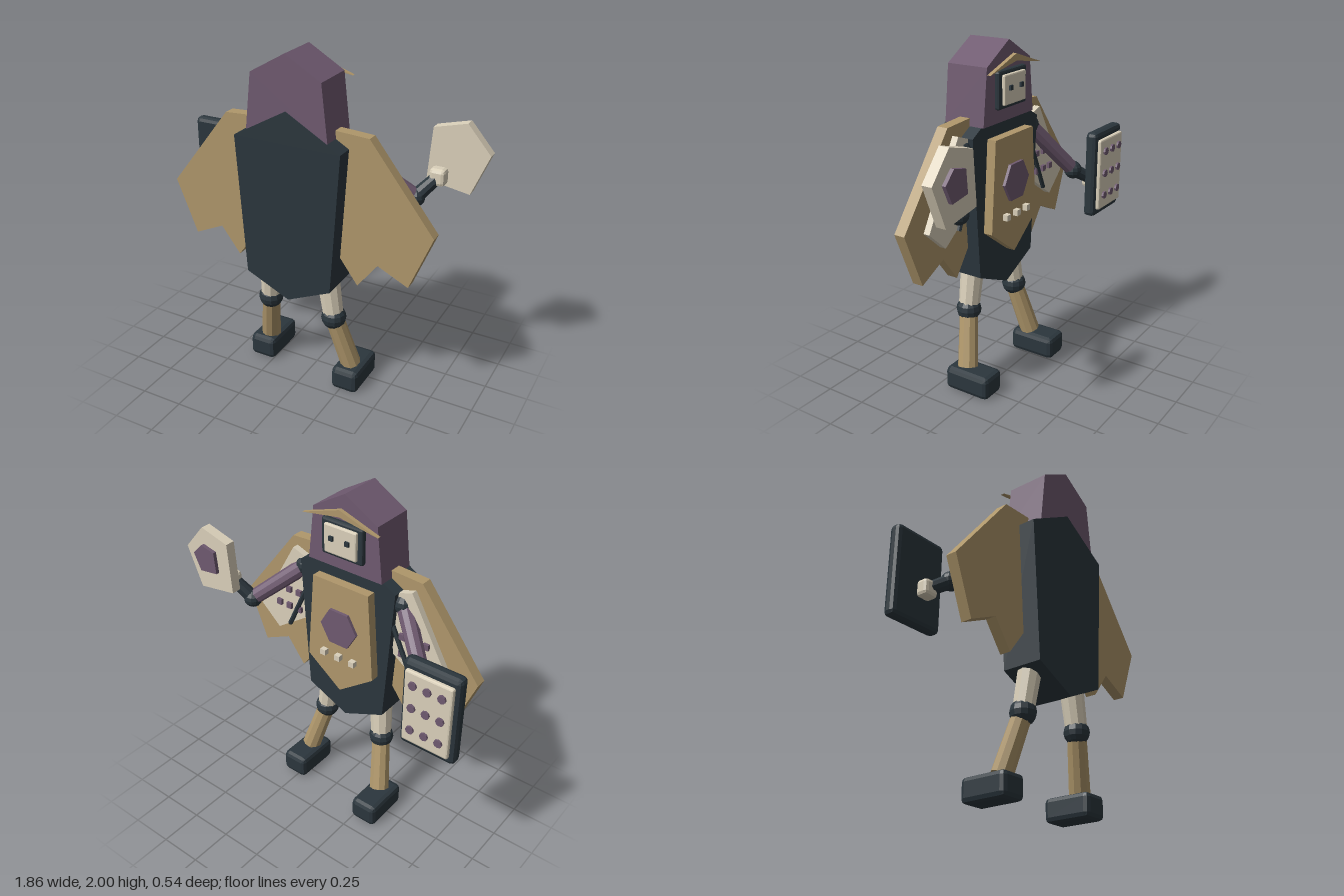
import * as THREE from 'three';
import { RoundedBoxGeometry } from 'three/addons/geometries/RoundedBoxGeometry.js';

const mat = (color) => new THREE.MeshStandardMaterial({ color, flatShading: true });
const dark = mat(0x2b363d), purple = mat(0x6f5a70), tan = mat(0xaf976b), cream = mat(0xdad0ba);
const CX = -0.042; // body's middle plane

export function createModel() {
  const root = new THREE.Group();

  const add = (name, geo, material, x = 0, y = 0, z = 0) => {
    const m = new THREE.Mesh(geo, material);
    m.name = name;
    m.position.set(x, y, z);
    root.add(m);
    return m;
  };
  // flat plate with an outline in x, y, running from z0 to z1
  const plate = (name, pts, z0, z1, material, x = 0) => {
    const shape = new THREE.Shape(pts.map(([a, b]) => new THREE.Vector2(a, b)));
    const geo = new THREE.ExtrudeGeometry(shape, { depth: z1 - z0, bevelEnabled: false });
    return add(name, geo, material, x, 0, z0);
  };
  // right half outline (top to bottom) completed by its mirror image
  const symmetric = (half) =>
    [...half, ...half.filter(([a]) => a > 0).reverse().map(([a, b]) => [-a, b])];
  // chamfered box given by its limits
  const block = (name, [x0, x1], [y0, y1], [z0, z1], r, material) =>
    add(name, new RoundedBoxGeometry(x1 - x0, y1 - y0, z1 - z0, 1, r), material,
      (x0 + x1) / 2, (y0 + y1) / 2, (z0 + z1) / 2);
  const limb = (name, a, b, r0, r1, material, sides = 10) => {
    const p = new THREE.Vector3(...a), q = new THREE.Vector3(...b);
    const d = q.clone().sub(p);
    const m = add(name, new THREE.CylinderGeometry(r1, r0, d.length(), sides), material);
    m.position.copy(p).add(q).multiplyScalar(0.5);
    m.quaternion.setFromUnitVectors(new THREE.Vector3(0, 1, 0), d.normalize());
    return m;
  };
  const ball = (name, p, r, material) =>
    add(name, new THREE.SphereGeometry(r, 12, 8), material, ...p);
  // disc facing along z
  const disc = (name, r, depth, sides, material, x, y, z, turn = 0) => {
    const geo = new THREE.CylinderGeometry(r, r, depth, sides).rotateX(Math.PI / 2).rotateZ(turn);
    return add(name, geo, material, x, y, z);
  };

  // torso and hood
  plate('torso', symmetric([[0, 1.7], [0.318, 1.52], [0.264, 0.7], [0, 0.58]]), 0.03, 0.27, dark, CX);
  plate('hood', symmetric([[0, 2], [0.207, 1.88], [0.243, 1.565]]), 0.013, 0.265, purple, CX);

  // face and brow
  block('faceFrame', [CX - 0.135, CX + 0.135], [1.64, 1.85], [-0.013, 0.03], 0.012, dark);
  block('facePlate', [CX - 0.105, CX + 0.105], [1.662, 1.828], [-0.03, 0], 0.008, cream);
  for (const s of [-1, 1])
    add('eye', new THREE.BoxGeometry(0.026, 0.026, 0.02), dark, CX + s * 0.052, 1.755, -0.032);
  plate('brow', [[0, 1.93], [0.243, 1.85], [0, 1.89], [-0.243, 1.85]], -0.035, -0.012, tan, CX);

  // chest panel, badge and buttons
  plate('chestPanel', symmetric([[0.185, 1.49], [0.226, 0.96], [0, 0.79]]), -0.025, 0.03, tan, CX);
  disc('chestBadge', 0.122, 0.025, 6, purple, CX, 1.22, -0.03, Math.PI / 2);
  for (const i of [-1, 0, 1])
    add('chestButton', new THREE.BoxGeometry(0.035, 0.035, 0.035), cream, CX + i * 0.1, 1.03, -0.038);

  // wings with inner panels, studs and struts
  for (const s of [-1, 1]) {
    const flip = (pts) => pts.map(([a, b]) => [s * a, b]);
    plate('wing', flip([[0.2, 1.61], [0.433, 1.597], [0.807, 1.12], [0.68, 0.8], [0.5, 0.885],
      [0.383, 0.73], [0.22, 0.95]]), 0.105, 0.17, tan, CX);
    plate('wingPanel', flip([[0.26, 1.5], [0.4, 1.55], [0.662, 1.09], [0.53, 0.97],
      [0.3, 1.13]]), 0.062, 0.1, cream, CX);
    for (let i = 0; i < 3; i++)
      for (const y of [1.16, 1.27])
        add('wingStud', new THREE.BoxGeometry(0.035, 0.035, 0.022), purple,
          CX + s * (0.36 + i * 0.075), y, 0.055);
    limb('wingStrut', [CX + s * 0.3, 1.32, 0.048], [CX + s * 0.43, 1.04, 0.048], 0.014, 0.014, dark, 6);
  }

  // legs
  const legs = [
    { hip: [0.145, 0.72, 0.14], knee: [0.185, 0.465, 0.142], ankle: [0.275, 0.14, 0.09], x: 0.276, z: 0.05 },
    { hip: [-0.222, 0.72, 0.14], knee: [-0.25, 0.465, 0.115], ankle: [-0.308, 0.14, 0.03], x: -0.322, z: -0.02 },
  ];
  for (const { hip, knee, ankle, x, z } of legs) {
    limb('thigh', hip, knee, 0.068, 0.06, cream);
    ball('knee', knee, 0.073, dark);
    limb('shin', knee, ankle, 0.054, 0.06, tan);
    block('foot', [x - 0.083, x + 0.083], [0, 0.14], [z - 0.145, z + 0.145], 0.028, dark);
  }

  // arms
  const arms = [
    { shoulder: [0.29, 1.45, 0.1], elbow: [0.555, 1.215, -0.08], hand: [0.658, 1.335, -0.135] },
    { shoulder: [-0.374, 1.45, 0.1], elbow: [-0.63, 1.13, -0.07], hand: [-0.738, 1.055, -0.135] },
  ];
  for (const { shoulder, elbow, hand } of arms) {
    ball('shoulder', shoulder, 0.065, dark);
    limb('upperArm', shoulder, elbow, 0.05, 0.045, purple);
    ball('elbow', elbow, 0.055, dark);
    limb('forearm', elbow, hand, 0.042, 0.036, dark);
    block('hand', ...[0.045, 0.048, 0.04].map((h, i) => [hand[i] - h, hand[i] + h]), 0.02, cream);
  }

  // paddle in the left hand
  const paddle = [[0.605, 1.595], [0.79, 1.645], [0.925, 1.49], [0.83, 1.255], [0.583, 1.295]];
  plate('paddle', paddle, -0.212, -0.153, cream);
  plate('paddleBadge', paddle.map(([x, y]) => [0.77 + (x - 0.76) * 0.5, 1.465 + (y - 1.46) * 0.43]),
    -0.234, -0.212, purple);

  // shield in the right hand
  block('shield', [-0.935, -0.6], [0.855, 1.387], [-0.238, -0.163], 0.025, dark);
  block('shieldPlate', [-0.907, -0.627], [0.9, 1.342], [-0.26, -0.225], 0.01, cream);
  for (const i of [-1, 0, 1])
    for (const j of [-1, 0, 1])
      disc('shieldStud', 0.024, 0.02, 8, purple, -0.767 + i * 0.085, 1.127 + j * 0.14, -0.262);

  return root;
}
